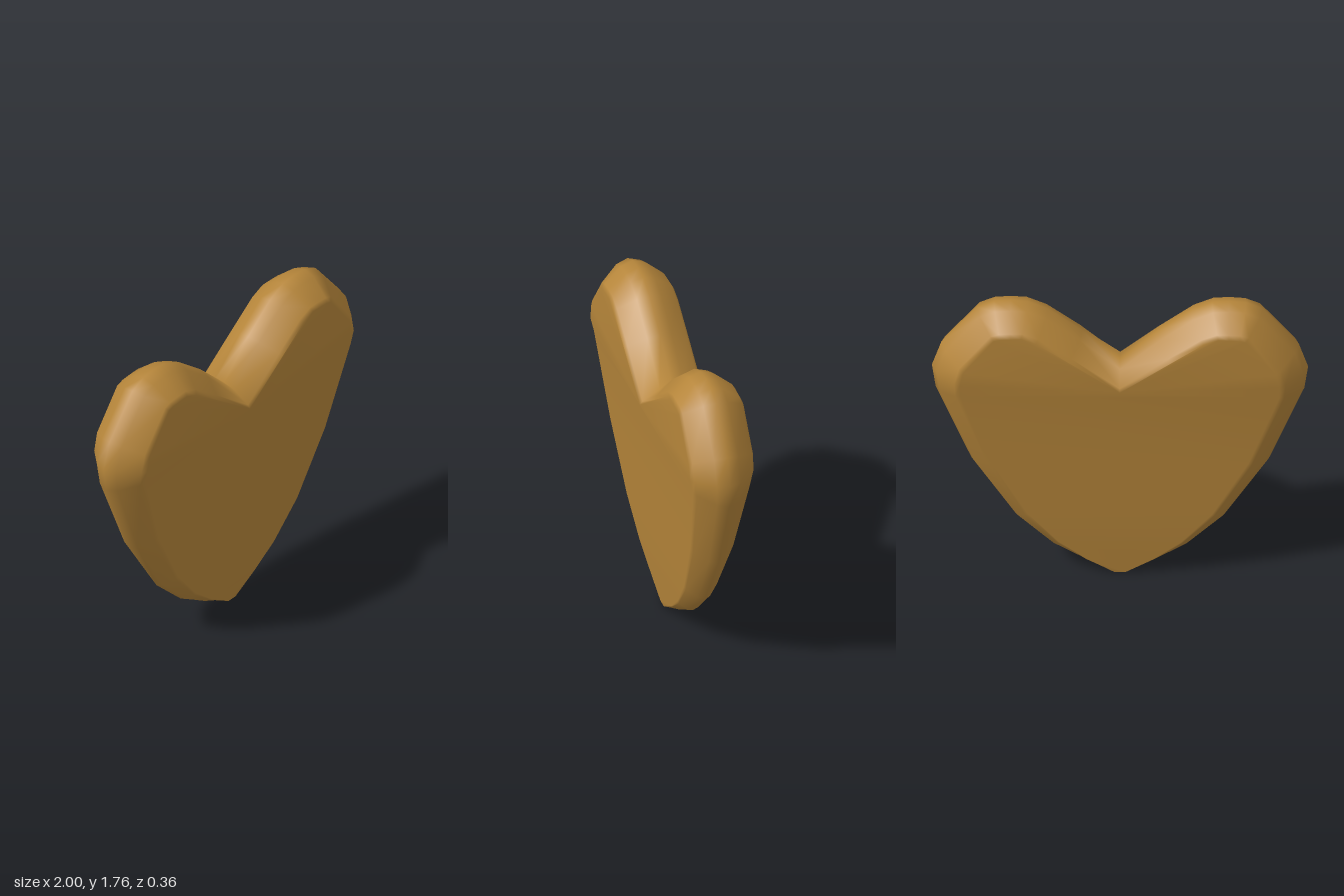
import * as THREE from 'three';

// Half outline from the notch clockwise to the tip: x, y, bevel inset, half thickness
const HALF = [
  [0, 1.37, 0.09, 0.18], [0.2, 1.56, 0.11, 0.18], [0.38, 1.70, 0.12, 0.18],
  [0.49, 1.75, 0.125, 0.18], [0.58, 1.757, 0.13, 0.18], [0.67, 1.75, 0.13, 0.18],
  [0.76, 1.71, 0.13, 0.18], [0.95, 1.48, 0.14, 0.18], [1.0, 1.33, 0.15, 0.178],
  [0.98, 1.19, 0.14, 0.16], [0.79, 0.72, 0.12, 0.122], [0.56, 0.36, 0.09, 0.094],
  [0.36, 0.17, 0.06, 0.076], [0.19, 0.07, 0.03, 0.062], [0.03, 0, 0.005, 0.055],
];
// Bevel cross-section: share of the inset, share of the half thickness
const BEVEL = [[1, 1], [0.8, 0.92], [0.17, 0.38], [0, 0], [0.17, -0.38], [0.8, -0.92], [1, -1]];
const FAN_END = 9; // first outline point level with the body below the notch

function heartGeometry() {
  const left = HALF.slice(1).reverse().map(([x, ...rest]) => [-x, ...rest]);
  const loop = [...HALF, ...left];
  const n = loop.length;
  const mirror = (i) => n - i;
  const position = [];
  const index = [];

  // Rings from the front face around the rim to the back face
  for (const [inset, depth] of BEVEL) {
    loop.forEach(([x, y, width, thickness], i) => {
      const p = loop[(i + n - 1) % n];
      const q = loop[(i + 1) % n];
      const inward = new THREE.Vector2(q[1] - p[1], p[0] - q[0]).normalize();
      position.push(x + inward.x * width * inset, y + inward.y * width * inset, thickness * depth);
    });
  }
  for (let k = 0; k < BEVEL.length - 1; k++) {
    for (let i = 0; i < n; i++) {
      const j = (i + 1) % n;
      const a = k * n + i, b = k * n + j;
      index.push(a, b, a + n, b, b + n, a + n);
    }
  }

  // Faces: a fan over each lobe, then strips across the body
  const face = [];
  for (let i = 1; i < FAN_END; i++) {
    face.push([0, i + 1, i], [0, mirror(i), mirror(i + 1)]);
  }
  face.push([0, mirror(FAN_END), FAN_END]);
  for (let i = FAN_END; i < HALF.length - 1; i++) {
    face.push([i, mirror(i), mirror(i + 1)], [i, mirror(i + 1), i + 1]);
  }
  const back = (BEVEL.length - 1) * n;
  for (const [a, b, c] of face) {
    index.push(a, b, c, back + a, back + c, back + b);
  }

  const geometry = new THREE.BufferGeometry();
  geometry.setAttribute('position', new THREE.Float32BufferAttribute(position, 3));
  geometry.setIndex(index);
  geometry.computeVertexNormals();
  return geometry;
}

export function createModel() {
  const group = new THREE.Group();
  group.name = 'heart';
  const body = new THREE.Mesh(heartGeometry(), new THREE.MeshStandardMaterial({ color: 0xb5853a }));
  body.name = 'heartBody';
  group.add(body);
  return group;
}
